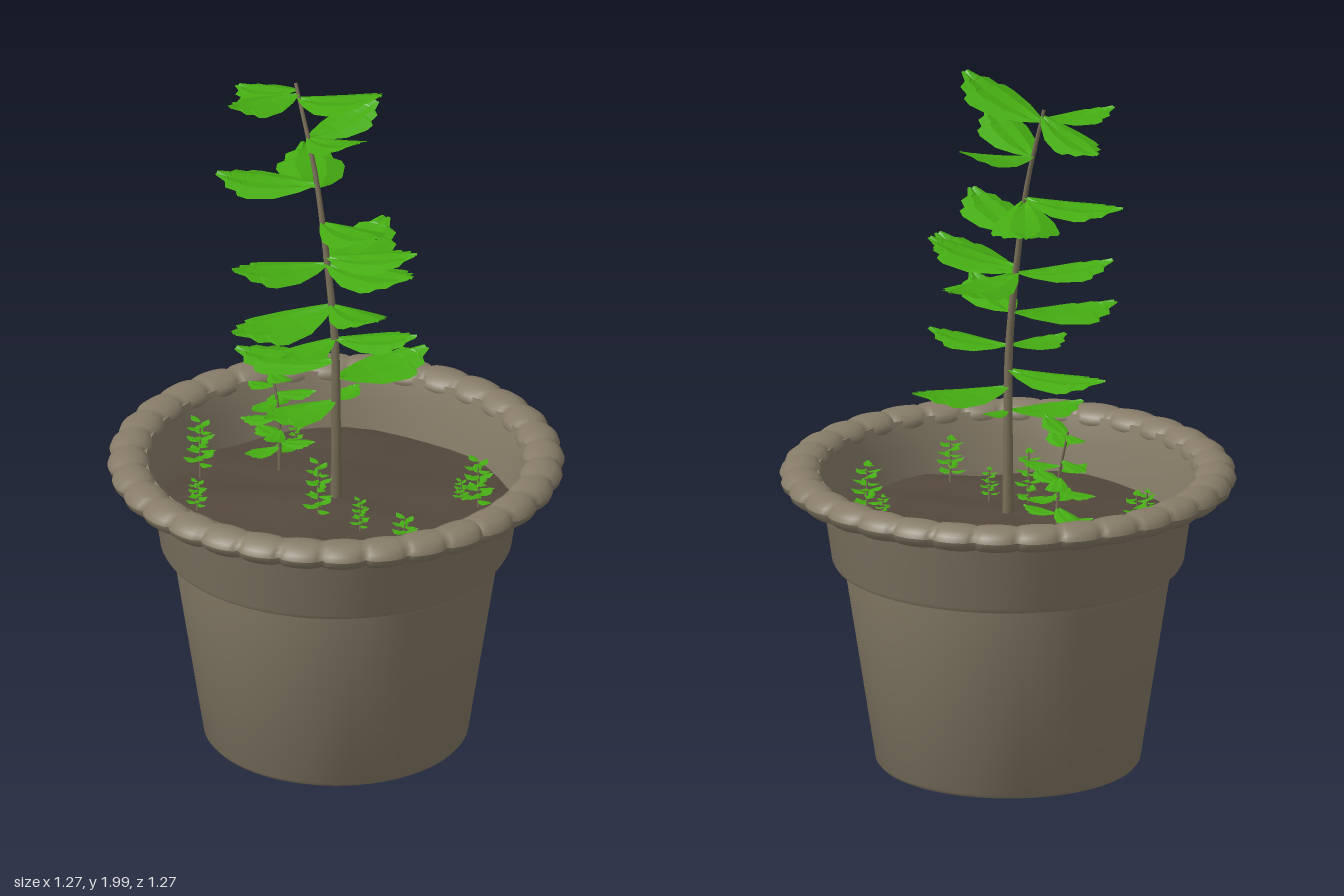
import * as THREE from 'three';
import { mergeGeometries, toCreasedNormals } from 'three/addons/utils/BufferGeometryUtils.js';

const V = (x, y, z) => new THREE.Vector3(x, y, z);
const mat = (name, color, extra = {}) => Object.assign(new THREE.MeshStandardMaterial({ color, ...extra }), { name });

function lathe(pairs, segments) {
  return new THREE.LatheGeometry(pairs.map(([r, y]) => new THREE.Vector2(r, y)), segments);
}

// Unit leaf along +z: folded along the midrib, toothed near the tip
function leafGeometry() {
  const stations = [[0, 0.03], [0.14, 0.14], [0.36, 0.26], [0.62, 0.31], [0.72, 0.29], [0.75, 0.22],
    [0.86, 0.2], [0.89, 0.11], [1, 0.05]];
  const pos = [], index = [];
  stations.forEach(([t, w], i) => {
    const sag = -0.18 * t * (1 - t);
    pos.push(-w, sag - w * 0.16, t, -w * 0.45, sag - w * 0.02, t, 0, sag - 0.02, t,
      w * 0.45, sag - w * 0.02, t, w, sag - w * 0.16, t);
    if (i === 0) return;
    for (let k = 0; k < 4; k++) {
      const a = (i - 1) * 5 + k, b = a + 5;
      index.push(a, b, a + 1, a + 1, b, b + 1);
    }
  });
  const geo = new THREE.BufferGeometry();
  geo.setAttribute('position', new THREE.Float32BufferAttribute(pos, 3));
  geo.setIndex(index);
  const flat = geo.toNonIndexed();
  flat.computeVertexNormals();
  return flat;
}

// Leaf stretched from its base to its tip
function placeLeaf(leaf, base, tip) {
  const z = tip.clone().sub(base), length = z.length();
  z.normalize();
  const x = V(0, 1, 0).cross(z).normalize();
  const y = z.clone().cross(x);
  const m = new THREE.Matrix4().makeBasis(x, y, z).scale(V(length, length, length)).setPosition(base);
  return leaf.clone().applyMatrix4(m);
}

// Tube narrowing from r0 to r1
function taperedStem(curve, r0, r1, rings = 20, sides = 7) {
  const geo = new THREE.TubeGeometry(curve, rings, r0, sides);
  const p = geo.attributes.position, v = V(0, 0, 0);
  for (let i = 0; i < p.count; i++) {
    const t = Math.floor(i / (sides + 1)) / rings;
    const c = curve.getPointAt(t);
    v.fromBufferAttribute(p, i).sub(c).multiplyScalar(1 + (r1 / r0 - 1) * t).add(c);
    p.setXYZ(i, v.x, v.y, v.z);
  }
  geo.computeVertexNormals();
  return geo;
}

// Point on a stem at a given height
function pointAtHeight(curve, y) {
  let lo = 0, hi = 1;
  for (let i = 0; i < 20; i++) {
    const mid = (lo + hi) / 2;
    if (curve.getPoint(mid).y < y) lo = mid; else hi = mid;
  }
  return curve.getPoint(lo);
}

export function createModel() {
  const model = new THREE.Group();
  const clay = mat('clay', 0x877c68);
  const earth = mat('earth', 0x54483d, { side: THREE.DoubleSide });
  const green = mat('leaf green', 0x45ac12, { side: THREE.DoubleSide });
  const bark = mat('bark', 0x7a7059);
  const add = (name, geo, material, parent = model) => {
    const mesh = new THREE.Mesh(geo, material);
    mesh.name = name;
    parent.add(mesh);
    return mesh;
  };

  // Pot wall with drain hole, collar and hollow inside
  const wall = [[0, 0.02], [0.06, 0.02], [0.06, 0], [0.358, 0], [0.368, 0.012], [0.456, 0.58], [0.482, 0.58],
    [0.489, 0.592], [0.518, 0.79], [0.545, 0.84], [0.525, 0.845], [0.505, 0.77], [0.488, 0.6]];
  add('potWall', toCreasedNormals(lathe(wall, 72), 0.6), clay);

  // Scalloped rim: a ring whose tube swells into 32 lobes
  const rim = new THREE.TorusGeometry(0.575, 0.05, 14, 320).rotateX(Math.PI / 2);
  const rp = rim.attributes.position;
  for (let i = 0; i < rp.count; i++) {
    const x = rp.getX(i), z = rp.getZ(i), r = Math.hypot(x, z), a = Math.atan2(z, x);
    const lobe = Math.sqrt(Math.abs(Math.sin(16 * a)));
    const dr = (r - 0.575) * (r < 0.575 ? 0.85 + 0.35 * lobe : 0.85 + 0.35 * lobe);
    const k = (0.575 + dr) / r;
    rp.setXYZ(i, x * k, 0.828 + rp.getY(i) * (0.66 + 0.1 * lobe), z * k);
  }
  rim.computeVertexNormals();
  add('scallopedRim', rim, clay);

  // Uneven soil, slightly mounded
  const soil = lathe([[0.495, 0.675], [0.4, 0.69], [0.3, 0.7], [0.2, 0.705], [0.1, 0.71], [0, 0.71]], 40);
  const sp = soil.attributes.position;
  for (let i = 0; i < sp.count; i++) {
    const x = sp.getX(i), z = sp.getZ(i);
    sp.setY(i, sp.getY(i) + 0.012 * Math.sin(11 * x + 2) * Math.cos(9 * z) + 0.006 * Math.sin(23 * z + 13 * x));
  }
  soil.computeVertexNormals();
  add('soil', soil, earth);

  const leaf = leafGeometry();

  // A plant is a stem plus leaves given as [base height, tip x, tip y, tip z]
  function plant(name, points, r0, r1, tips) {
    const group = new THREE.Group();
    group.name = name;
    const curve = new THREE.CatmullRomCurve3(points);
    add('stem', taperedStem(curve, r0, r1), bark, group);
    const leaves = tips.map(([y, tx, ty, tz]) => placeLeaf(leaf, pointAtHeight(curve, y), V(tx, ty, tz)));
    add('leaves', mergeGeometries(leaves), green, group);
    model.add(group);
  }

  // Main sapling
  plant('mainSapling', [V(0, 0.68, 0), V(0, 0.95, 0), V(-0.005, 1.2, 0), V(-0.04, 1.45, 0), V(-0.09, 1.7, 0),
    V(-0.17, 1.94, 0)], 0.016, 0.005, [
    [1.92, -0.39, 1.86, 0.02], [1.91, -0.21, 1.92, 0.21], [1.9, 0.12, 1.99, -0.06],
    [1.79, 0.12, 1.87, 0.02], [1.79, -0.09, 1.84, -0.23],
    [1.66, -0.32, 1.66, 0.16], [1.65, -0.33, 1.64, -0.18],
    [1.55, 0.21, 1.61, 0.03], [1.45, 0.19, 1.5, -0.13], [1.43, 0.26, 1.48, -0.05],
    [1.43, -0.12, 1.45, -0.29], [1.43, -0.15, 1.45, 0.25],
    [1.31, -0.08, 1.3, 0.31], [1.31, 0.22, 1.36, 0.04],
    [1.21, 0.18, 1.24, -0.14], [1.21, -0.01, 1.21, 0.19],
    [1.14, -0.25, 1.14, 0.15], [1.09, 0.05, 1.11, -0.29],
    [1.02, -0.05, 1.02, 0.22], [1.02, -0.02, 1.03, -0.1],
  ]);

  // Smaller sapling beside it, leaves alternating around the stem
  const smallTips = [[1.03, -0.39, 1.03, -0.03], [1.03, -0.2, 1.06, -0.02], [0.99, -0.19, 1.01, 0.02]];
  for (let i = 0; i < 12; i++) {
    const y = 0.95 - i * 0.018, a = i * 2.4 + 3;
    smallTips.push([y, -0.265 + 0.11 * Math.cos(a), y + 0.015 * Math.cos(a), -0.02 + 0.1 * Math.sin(a)]);
  }
  plant('smallSapling', [V(-0.26, 0.68, -0.02), V(-0.265, 0.88, -0.02), V(-0.31, 1.04, -0.02)],
    0.006, 0.003, smallTips);

  // Seedlings: [x, z, height, leaf reach]
  [[0.28, -0.28, 0.14, 0.05], [0.22, -0.27, 0.06, 0.025], [0.38, 0.08, 0.12, 0.045], [-0.4, 0.15, 0.15, 0.048],
    [-0.23, 0.31, 0.08, 0.032], [-0.34, -0.15, 0.08, 0.025], [0.04, 0.1, 0.17, 0.045], [0.17, 0.06, 0.09, 0.03],
  ].forEach(([x, z, h, reach]) => {
    const tips = [];
    for (let i = 0; i < 18; i++) {
      const y = 0.7 + h * (0.15 + 0.85 * i / 17), a = i * 2.4, d = reach * (1 - 0.25 * i / 17);
      tips.push([y, x + d * Math.cos(a), y + reach * 0.15, z + d * Math.sin(a)]);
    }
    plant('seedling', [V(x, 0.67, z), V(x, 0.7 + h / 2, z), V(x, 0.7 + h, z)], 0.004, 0.002, tips);
  });

  return model;
}
